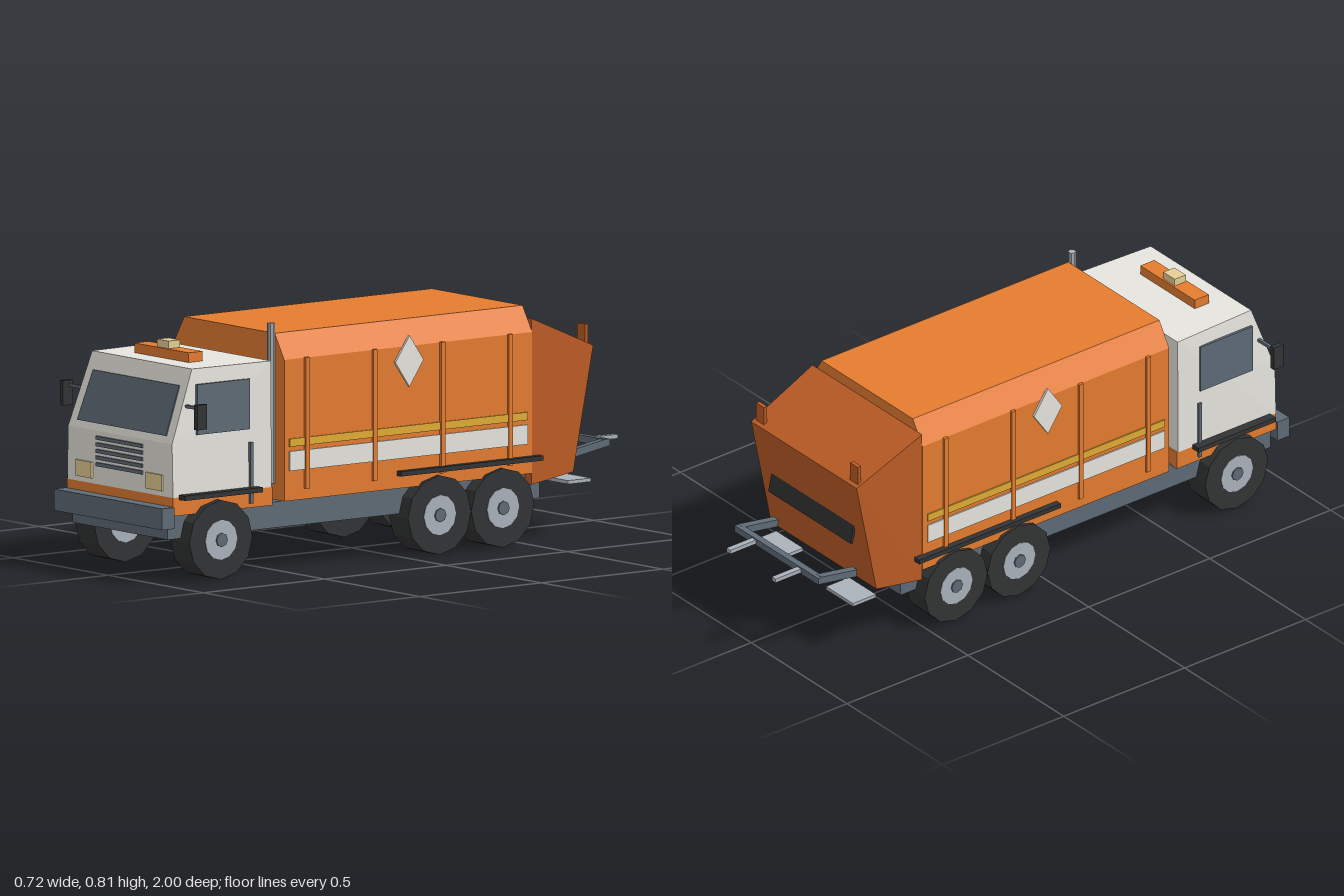
import * as THREE from 'three';
import { ConvexGeometry } from 'three/addons/geometries/ConvexGeometry.js';

const paint = (name, color) => {
  const m = new THREE.MeshStandardMaterial({ color });
  m.name = name;
  return m;
};

export function createModel() {
  const truck = new THREE.Group();
  truck.name = 'refuseTruck';

  const orange = paint('orange', 0xe67c30);
  const darkOrange = paint('dark orange', 0xbd5c25);
  const white = paint('off white', 0xe8e6df);
  const slate = paint('slate', 0x5f6b76);
  const black = paint('rubber black', 0x323334);
  const grey = paint('steel grey', 0xabb2ba);
  const yellow = paint('yellow', 0xe0ac35);
  const cream = paint('lamp cream', 0xe6d095);

  const add = (name, geometry, material) => {
    const mesh = new THREE.Mesh(geometry, material);
    mesh.name = name;
    truck.add(mesh);
    return mesh;
  };
  // Box given by its min and max on each axis
  const box = (name, material, [x0, x1], [y0, y1], [z0, z1]) => {
    const mesh = add(name, new THREE.BoxGeometry(x1 - x0, y1 - y0, z1 - z0), material);
    mesh.position.set((x0 + x1) / 2, (y0 + y1) / 2, (z0 + z1) / 2);
    return mesh;
  };
  const span = (s, a, b) => (s > 0 ? [a, b] : [-b, -a]);
  // Convex solid from points on the left half, mirrored to the right
  const hull = (name, material, points) => add(name, new ConvexGeometry(
    points.flatMap(([x, y, z]) => [new THREE.Vector3(x, y, z), new THREE.Vector3(-x, y, z)])), material);
  // Faceted cylinder
  const drum = (r, length, sides) => {
    const g = new THREE.CylinderGeometry(r, r, length, sides).toNonIndexed();
    g.computeVertexNormals();
    return g;
  };

  // Chassis and bumper
  box('chassis', slate, [-0.25, 0.25], [0.14, 0.225], [-0.58, 0.95]);
  box('bumper', slate, [-0.285, 0.285], [0.18, 0.25], [0.95, 1]);

  // Cab
  box('cabBase', orange, [-0.278, 0.278], [0.22, 0.28], [0.54, 0.95]);
  hull('cab', white, [
    [0.278, 0.28, 0.545], [0.278, 0.28, 0.95], [0.273, 0.455, 0.95],
    [0.262, 0.693, 0.86], [0.276, 0.693, 0.545],
  ]);
  const slopeZ = (y) => 0.95 - (y - 0.455) * 0.378;
  hull('windshield', slate, [[0.234, 0.478], [0.227, 0.637]].flatMap(([x, y]) =>
    [[x, y, slopeZ(y) - 0.003], [x, y, slopeZ(y) + 0.004]]));
  for (let i = 0; i < 5; i++) {
    const y = 0.346 + i * 0.0217;
    box('grilleBar', slate, [-0.12, 0.12], [y - 0.006, y + 0.006], [0.948, 0.957]);
  }
  box('beaconBar', orange, [-0.142, 0.142], [0.693, 0.725], [0.722, 0.78]);
  box('beaconLamp', cream, [-0.03, 0.03], [0.725, 0.75], [0.728, 0.774]);

  // Paired parts
  for (const s of [1, -1]) {
    box('headlight', cream, span(s, 0.143, 0.226), [0.297, 0.35], [0.948, 0.957]);
    box('sideWindow', slate, span(s, 0.272, 0.281), [0.478, 0.643], [0.635, 0.852]);
    box('grabRail', slate, span(s, 0.274, 0.286), [0.235, 0.435], [0.626, 0.638]);
    box('mirrorArm', slate, span(s, 0.26, 0.346), [0.569, 0.579], [0.882, 0.892]);
    box('mirror', black, span(s, 0.344, 0.362), [0.508, 0.59], [0.875, 0.915]);
    box('frontMudguard', black, span(s, 0.265, 0.31), [0.272, 0.288], [0.605, 0.925]);
    box('rearMudguard', black, span(s, 0.27, 0.31), [0.272, 0.288], [-0.55, 0.035]);

    // Hopper side markings and ribs
    box('yellowStripe', yellow, span(s, 0.286, 0.2925), [0.407, 0.433], [-0.5, 0.48]);
    box('whiteStripe', white, span(s, 0.286, 0.2925), [0.328, 0.392], [-0.5, 0.48]);
    for (const z of [0.41, 0.131, -0.148, -0.427])
      box('hopperRib', orange, span(s, 0.284, 0.297), [0.265, 0.695], [z - 0.008, z + 0.008]);
    const diamond = add('diamondPlate', drum(1, 0.008, 4), white);
    diamond.rotation.z = Math.PI / 2;
    diamond.scale.set(0.084, 1, 0.058);
    diamond.position.set(s * 0.294, 0.645, -0.008);

    // Wheels
    for (const z of [0.77, -0.13, -0.39]) {
      const layers = [['tyre', 0.13, 0.1, 12, black], ['rim', 0.066, 0.104, 12, grey], ['hub', 0.023, 0.114, 8, slate]];
      for (const [name, r, width, sides, material] of layers) {
        const part = add(name, drum(r, width, sides), material);
        part.rotation.z = Math.PI / 2;
        part.position.set(s * 0.25, 0.13, z);
      }
    }

    // Rear lift arms, pegs, footplates and marker posts
    const arm = box('liftArm', slate, span(s, 0.192, 0.218), [0.265, 0.29], [-0.885, -0.735]);
    arm.rotation.x = 0.17;
    box('liftPeg', grey, span(s, 0.108, 0.128), [0.283, 0.297], [-1, -0.885]);
    box('footplate', grey, span(s, 0.12, 0.26), [0.176, 0.188], [-0.785, -0.69]);
    box('markerPost', darkOrange, span(s, 0.225, 0.265), [0.61, 0.695], [-0.769, -0.755]);
  }
  box('liftCrossbar', slate, [-0.218, 0.218], [0.278, 0.302], [-0.895, -0.872]);

  // Hopper with chamfered roof
  hull('hopper', orange, [0.5, -0.52].flatMap((z) =>
    [[0.288, 0.23, z], [0.288, 0.693, z], [0.238, 0.775, z]]));

  // Tailgate and its loading slot
  hull('tailgate', darkOrange, [
    [0.286, 0.193, -0.52], [0.286, 0.737, -0.52], [0.275, 0.625, -0.782], [0.275, 0.218, -0.7],
  ]);
  const slot = box('loadingSlot', black, [-0.215, 0.215], [0.38, 0.49], [-0.748, -0.739]);
  slot.rotation.x = -Math.atan(-0.2);

  // Exhaust stack
  const exhaust = add('exhaust', drum(0.013, 0.525, 8), grey);
  exhaust.position.set(0.237, 0.5475, 0.515);

  return truck;
}
